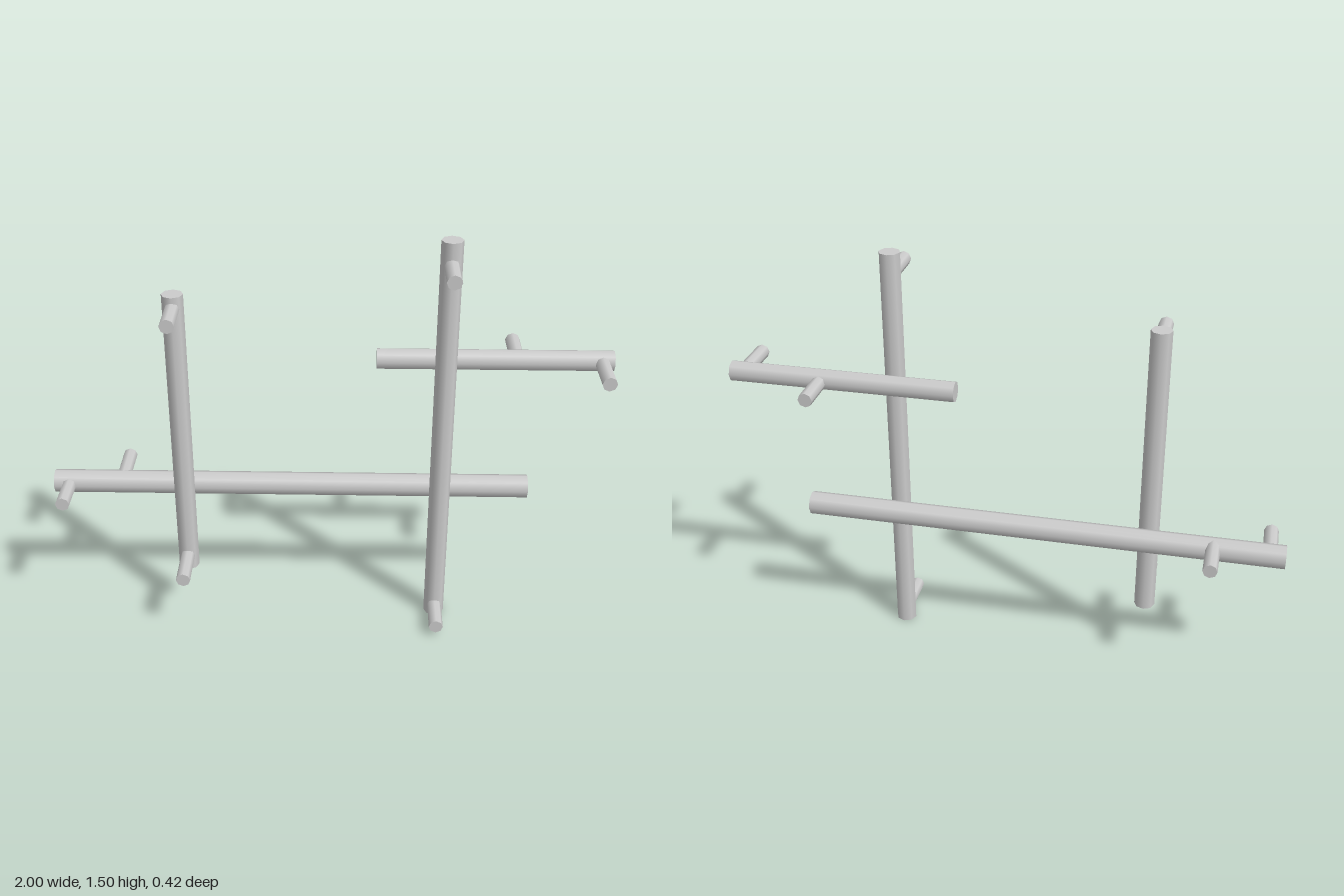
import * as THREE from 'three';

const material = new THREE.MeshStandardMaterial({ color: 0xcccccc });

// Eight-sided round bar running between two points
function bar(name, from, to, radius) {
  const a = new THREE.Vector3(...from);
  const b = new THREE.Vector3(...to);
  const dir = b.clone().sub(a);
  const mesh = new THREE.Mesh(new THREE.CylinderGeometry(radius, radius, dir.length(), 8), material);
  mesh.name = name;
  mesh.position.copy(a).add(b).multiplyScalar(0.5);
  mesh.quaternion.setFromUnitVectors(new THREE.Vector3(0, 1, 0), dir.normalize());
  return mesh;
}

export function createModel() {
  const model = new THREE.Group();
  model.name = 'poleFrame';
  const postZ = 0.027, beamZ = -0.042;

  // Upright posts
  model.add(
    bar('shortPost', [-0.513, 0.2, postZ], [-0.513, 1.305, postZ], 0.0375),
    bar('tallPost', [0.415, 0, postZ], [0.415, 1.505, postZ], 0.0375),
  );

  // Horizontal beams behind the posts
  model.add(
    bar('longBeam', [-1, 0.52, beamZ], [0.74, 0.52, beamZ], 0.043),
    bar('shortBeam', [0.178, 1.038, beamZ], [1, 1.038, beamZ], 0.0375),
  );

  // Pegs: x, y, start z, end z
  const pegs = [
    ['shortPostUpperPeg', -0.513, 1.26, postZ, 0.19],
    ['shortPostLowerPeg', -0.513, 0.257, postZ, 0.212],
    ['tallPostUpperPeg', 0.415, 1.423, postZ, 0.19],
    ['tallPostLowerPeg', 0.415, 0.042, postZ, 0.19],
    ['longBeamFrontPeg', -0.945, 0.52, beamZ, 0.122],
    ['longBeamBackPeg', -0.748, 0.535, beamZ, -0.21],
    ['shortBeamFrontPeg', 0.958, 1.038, beamZ, 0.137],
    ['shortBeamBackPeg', 0.667, 1.035, beamZ, -0.21],
  ];
  for (const [name, x, y, z0, z1] of pegs) {
    model.add(bar(name, [x, y, z0], [x, y, z1], 0.026));
  }
  return model;
}
